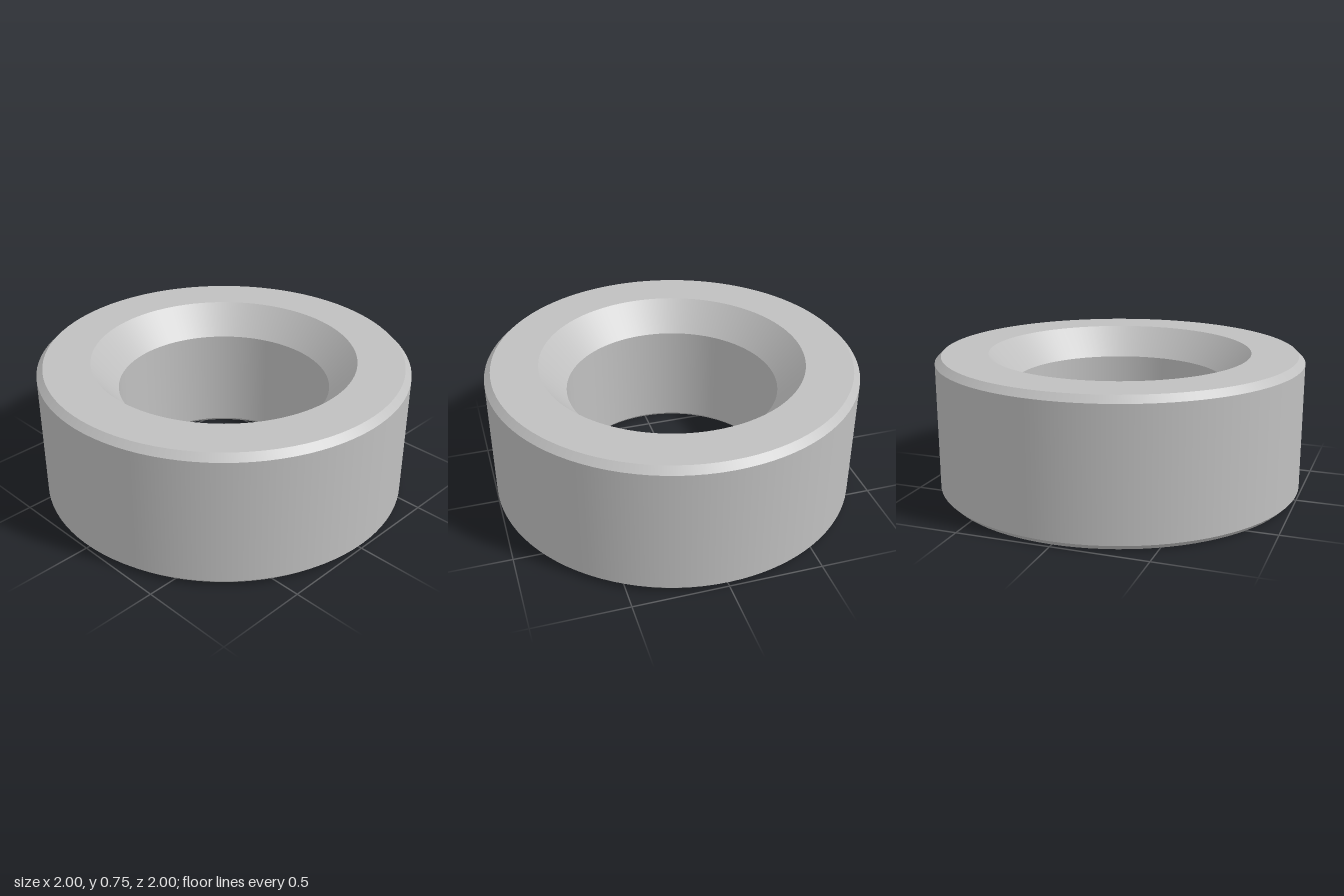
import * as THREE from 'three';

export function createModel() {
  const model = new THREE.Group();
  const grey = new THREE.MeshStandardMaterial({ color: 0xc0c0c0 });
  grey.name = 'steel grey';

  const add = (parent, name, geometry) => {
    const mesh = new THREE.Mesh(geometry, grey);
    mesh.name = name;
    parent.add(mesh);
    return mesh;
  };

  // One lathed band per profile step keeps every edge crisp
  const turn = (parent, steps, segments) => {
    for (let i = 1; i < steps.length; i++) {
      const [r0, y0] = steps[i - 1];
      const [r1, y1, name] = steps[i];
      add(parent, name, new THREE.LatheGeometry(
        [new THREE.Vector2(r0, y0), new THREE.Vector2(r1, y1)], segments));
    }
  };

  const height = 0.75, bore = 0.573;
  const outerBottom = 0.972, boreBottom = 0.594;

  // Ring body: up the outside, across the top, down the bore
  const ring = new THREE.Group();
  ring.name = 'ring';
  model.add(ring);
  turn(ring, [
    [outerBottom, 0],
    [1, 0.028, 'bottomChamfer'],
    [1, height - 0.034, 'outerWall'],
    [0.966, height, 'topChamfer'],
    [0.714, height, 'topFace'],
    [bore, height - 0.162, 'countersink'],
    [bore, 0.021, 'boreWall'],
    [boreBottom, 0, 'boreChamfer'],
  ], 96);

  // Underside with three mounting holes
  const holeCircle = 0.824, holeRim = 0.08, holeRadius = 0.064, holeDepth = 0.25;
  const face = new THREE.Shape().absarc(0, 0, outerBottom, 0, Math.PI * 2);
  face.holes.push(new THREE.Path().absarc(0, 0, boreBottom, 0, Math.PI * 2, true));

  for (let i = 0; i < 3; i++) {
    const angle = Math.PI + i * Math.PI * 2 / 3;
    const x = holeCircle * Math.cos(angle), z = holeCircle * Math.sin(angle);
    face.holes.push(new THREE.Path().absarc(x, z, holeRim, 0, Math.PI * 2, true));

    // Blind hole with a chamfered mouth
    const hole = new THREE.Group();
    hole.name = 'mountingHole';
    hole.position.set(x, 0, z);
    turn(hole, [
      [0, holeDepth],
      [holeRadius, holeDepth, 'holeFloor'],
      [holeRadius, 0.016, 'holeWall'],
      [holeRim, 0, 'holeChamfer'],
    ], 48);
    model.add(hole);
  }
  add(model, 'bottomFace', new THREE.ShapeGeometry(face, 48).rotateX(Math.PI / 2));

  return model;
}
